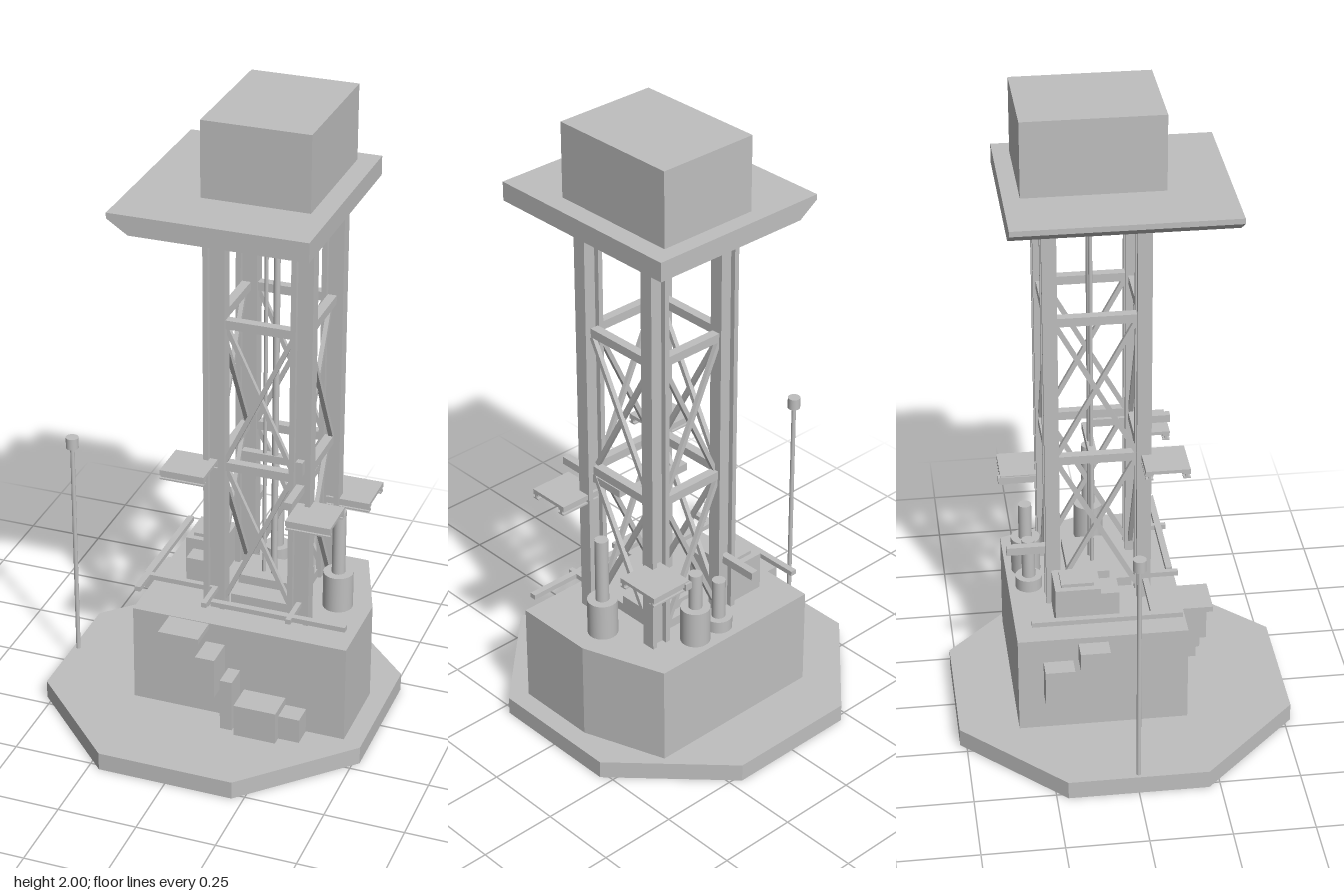
import * as THREE from 'three';

export function createModel() {
  const model = new THREE.Group();
  const grey = new THREE.MeshStandardMaterial({ color: 0xbfbfbf });
  grey.name = 'light grey';

  const add = (name, geometry, parent = model) => {
    const mesh = new THREE.Mesh(geometry, grey);
    mesh.name = name;
    parent.add(mesh);
    return mesh;
  };
  const group = (name) => {
    const g = new THREE.Group();
    g.name = name;
    model.add(g);
    return g;
  };
  // Box given by its limits on each axis
  const box = (name, x0, x1, y0, y1, z0, z1, parent) => {
    const mesh = add(name, new THREE.BoxGeometry(x1 - x0, y1 - y0, z1 - z0), parent);
    mesh.position.set((x0 + x1) / 2, (y0 + y1) / 2, (z0 + z1) / 2);
    return mesh;
  };
  const cylinder = (name, x, z, r, y0, y1, parent) => {
    const mesh = add(name, new THREE.CylinderGeometry(r, r, y1 - y0, 24), parent);
    mesh.position.set(x, (y0 + y1) / 2, z);
    return mesh;
  };
  // Square bar between two points
  const strut = (name, a, b, w, parent) => {
    const p = new THREE.Vector3(...a), q = new THREE.Vector3(...b);
    const mesh = add(name, new THREE.BoxGeometry(w, w, p.distanceTo(q)), parent);
    mesh.position.copy(p).add(q).multiplyScalar(0.5);
    mesh.lookAt(q);
    return mesh;
  };
  // Vertical prism from a plan outline of [x, z] points
  const prism = (name, points, y0, y1) => {
    const shape = new THREE.Shape(points.map(([x, z]) => new THREE.Vector2(x, -z)));
    const geometry = new THREE.ExtrudeGeometry(shape, { depth: y1 - y0, bevelEnabled: false });
    geometry.rotateX(-Math.PI / 2).translate(0, y0, 0);
    return add(name, geometry);
  };

  // Octagonal pad and main block with its angled side
  const R = 0.52, C = 0.215;
  prism('pad', [[-C, R], [C, R], [R, C], [R, -C], [C, -R], [-C, -R], [-R, -C], [-R, C]], 0, 0.058);
  prism('mainBlock', [[-0.23, 0.19], [0.46, 0.19], [0.46, -0.075], [0.365, -0.335], [-0.23, -0.335]], 0.058, 0.38);

  // Roof deck with undercut left edge, and the housing on it
  const deck = new THREE.Shape([[-0.23, 1.765], [-0.23, 1.748], [-0.165, 1.705], [0.37, 1.705], [0.37, 1.765]]
    .map(([x, y]) => new THREE.Vector2(x, y)));
  add('roofDeck', new THREE.ExtrudeGeometry(deck, { depth: 0.666, bevelEnabled: false })).position.z = -0.333;
  box('roofHousing', -0.02, 0.31, 1.765, 2, -0.282, 0.142);

  // Four H-section tower legs
  const legX = [0.003, 0.274], legZ = [0.078, -0.203];
  const tower = group('tower');
  for (const x of legX) for (const z of legZ) {
    for (const s of [-1, 1]) {
      const f = x + s * 0.026;
      box('legFlange', f - 0.008, f + 0.008, 0.38, 1.705, z - 0.022, z + 0.022, tower);
    }
    box('legWeb', x - 0.02, x + 0.02, 0.38, 1.705, z - 0.006, z + 0.006, tower);
  }

  // Horizontal beams and crossed braces on all four faces
  for (const y of [0.88, 1.352]) {
    for (const z of legZ) box('crossBeam', 0.035, 0.243, y - 0.014, y + 0.014, z - 0.014, z + 0.014, tower);
    for (const x of legX) box('sideBeam', x - 0.014, x + 0.014, y - 0.014, y + 0.014, -0.182, 0.057, tower);
  }
  for (const [y0, y1] of [[0.42, 0.865], [0.895, 1.335]]) {
    for (const z of legZ) {
      strut('frontBrace', [0.035, y0, z + 0.006], [0.243, y1, z + 0.006], 0.014, tower);
      strut('frontBrace', [0.035, y1, z - 0.006], [0.243, y0, z - 0.006], 0.014, tower);
    }
    for (const x of legX) {
      strut('sideBrace', [x + 0.006, y0, -0.182], [x + 0.006, y1, 0.057], 0.014, tower);
      strut('sideBrace', [x - 0.006, y1, -0.182], [x - 0.006, y0, 0.057], 0.014, tower);
    }
  }
  box('innerBeam', 0.035, 0.25, 0.834, 0.859, -0.08, -0.055, tower);
  box('outriggerBeam', 0.26, 0.285, 0.834, 0.859, -0.055, 0.2, tower);
  box('legFitting', 0.263, 0.285, 0.9, 0.945, 0.075, 0.105, tower);

  // Pipes running up the middle
  const pipes = group('centralPipes');
  cylinder('thinPipe', 0.107, -0.067, 0.006, 0.38, 1.705, pipes);
  cylinder('widePipe', 0.14, -0.067, 0.01, 0.38, 1.705, pipes);

  // Cantilevered service platforms, each a plate on two I-beams
  const platform = (x0, x1, y, z0, z1) => {
    const g = group('servicePlatform');
    box('platformPlate', x0, x1, y + 0.004, y + 0.015, z0, z1, g);
    for (const z of [z0 + 0.011, z1 - 0.011]) {
      box('bracketTopFlange', x0, x1, y - 0.002, y + 0.004, z - 0.011, z + 0.011, g);
      box('bracketWeb', x0, x1, y - 0.011, y - 0.002, z - 0.004, z + 0.004, g);
      box('bracketBottomFlange', x0, x1, y - 0.016, y - 0.011, z - 0.011, z + 0.011, g);
    }
  };
  platform(-0.13, 0.01, 0.88, 0.07, 0.205);
  platform(0.265, 0.405, 0.782, 0.062, 0.2);
  platform(0.265, 0.405, 0.657, -0.337, -0.19);
  box('rearArm', -0.01, 0.014, 0.553, 0.579, -0.344, -0.2);
  box('rearArm', 0.262, 0.285, 0.645, 0.668, -0.344, -0.2);

  // Low rails around the block
  const rails = group('lowRails');
  box('leftRail', -0.232, -0.212, 0.433, 0.449, -0.29, 0.172, rails);
  box('leftRailArm', -0.23, 0.01, 0.433, 0.449, 0.075, 0.093, rails);
  box('frontRail', 0.02, 0.45, 0.433, 0.449, 0.155, 0.175, rails);
  for (const x of legX) box('frontRailArm', x - 0.008, x + 0.008, 0.433, 0.449, 0.08, 0.19, rails);

  // Stacked cylinders: [x, z, base top, pipe top, base radius]
  for (const [x, z, y0, y1, r] of [
    [0.355, -0.05, 0.5, 0.715, 0.047], [0.177, -0.27, 0.5, 0.62, 0.046], [0.08, -0.27, 0.42, 0.55, 0.042],
  ]) {
    const g = group('exhaustStack');
    cylinder('stackBase', x, z, r, 0.38, y0, g);
    cylinder('stackPipe', x, z, 0.021, y0, y1, g);
  }

  // Cabinets on top of the block
  box('topCabinet', -0.155, -0.035, 0.38, 0.505, -0.21, -0.07);
  box('topCabinetCap', -0.135, -0.06, 0.505, 0.516, -0.19, -0.09);
  box('smallCabinet', -0.13, -0.045, 0.38, 0.47, -0.07, -0.01);
  box('towerBaseBox', 0.04, 0.245, 0.38, 0.41, -0.18, 0.05);
  box('towerBaseLid', 0.04, 0.245, 0.41, 0.44, -0.15, -0.02);

  // Boxes fixed to the left and front walls
  box('leftWallBox', -0.29, -0.23, 0.18, 0.3, -0.257, -0.166);
  box('leftWallBox', -0.29, -0.23, 0.3, 0.36, -0.149, -0.057);
  box('frontShelf', -0.11, 0.02, 0.36, 0.378, 0.19, 0.285);
  box('frontWallBox', 0.01, 0.072, 0.18, 0.313, 0.19, 0.285);
  box('frontPost', 0.083, 0.122, 0.058, 0.232, 0.19, 0.265);
  box('frontBench', 0.135, 0.27, 0.058, 0.165, 0.19, 0.285);
  box('frontStep', 0.27, 0.337, 0.058, 0.14, 0.19, 0.256);

  // Lamp post
  const lamp = group('lampPost');
  cylinder('lampPole', -0.503, 0, 0.007, 0.058, 0.795, lamp);
  cylinder('lampHead', -0.503, 0, 0.02, 0.795, 0.832, lamp);

  return model;
}
